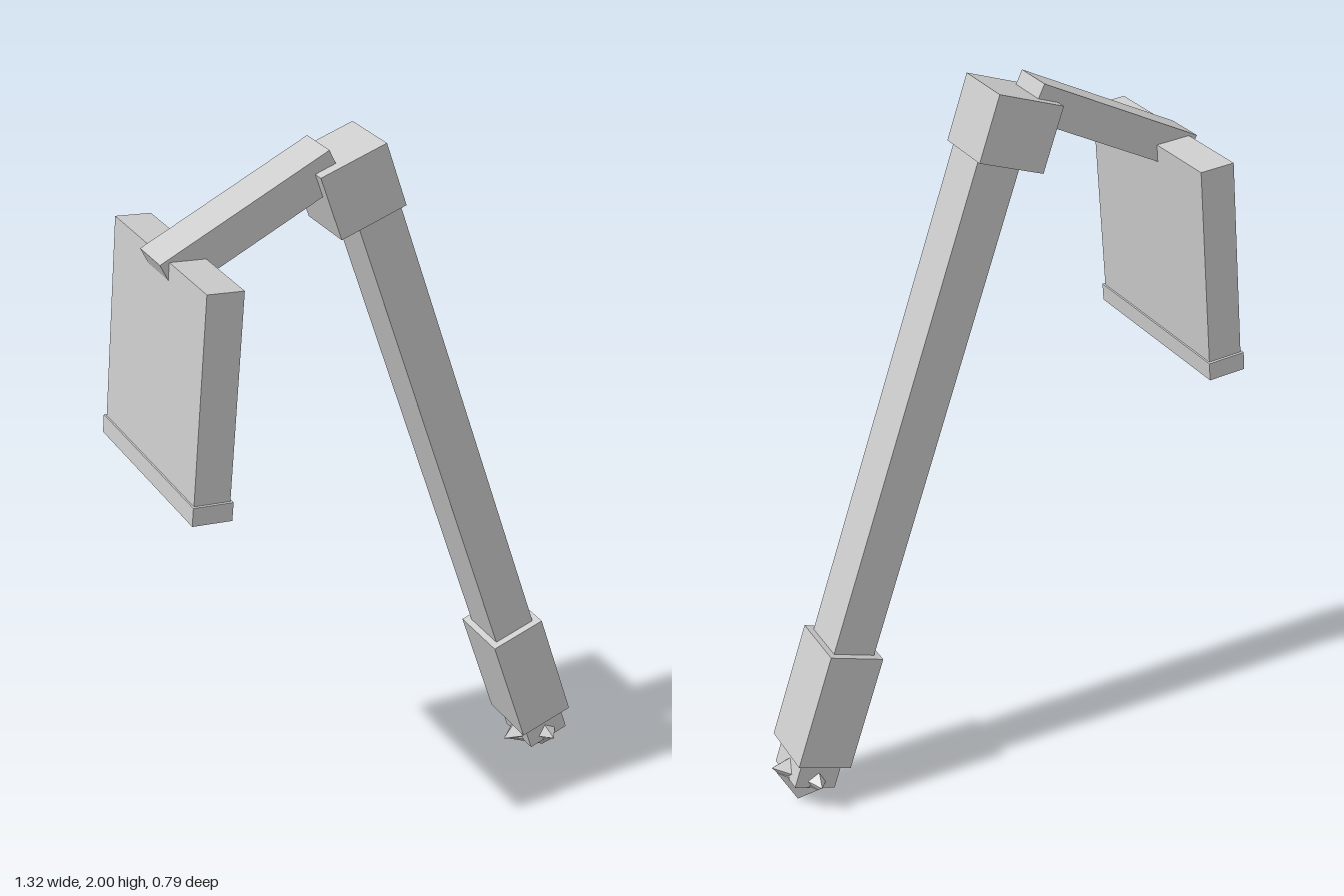
import * as THREE from 'three';

const grey = new THREE.MeshStandardMaterial({ color: 0xcccccc, flatShading: true });
grey.name = 'plain grey';

function add(parent, name, geometry, x, y, z = 0, tilt = 0) {
  const mesh = new THREE.Mesh(geometry, grey);
  mesh.name = name;
  mesh.position.set(x, y, z);
  mesh.rotation.z = THREE.MathUtils.degToRad(tilt);
  parent.add(mesh);
  return mesh;
}
const box = (w, h, d) => new THREE.BoxGeometry(w, h, d);
const pyramid = (r, h) => new THREE.ConeGeometry(r, h, 4).toNonIndexed();

export function createModel() {
  const model = new THREE.Group();
  model.name = 'jointedArm';

  // Everything lies in one upright plane, turned about the vertical
  const body = new THREE.Group();
  body.name = 'body';
  body.rotation.y = THREE.MathUtils.degToRad(-20);
  model.add(body);
  const mid = 0.075;

  // Leaning leg, built upwards from the point of its tip
  const leg = new THREE.Group();
  leg.name = 'leg';
  leg.position.set(0.656, 0, mid);
  leg.rotation.z = THREE.MathUtils.degToRad(18.5);
  body.add(leg);
  add(leg, 'shaft', box(0.123, 1.9, 0.14), 0, 1.03);
  add(leg, 'headBlock', box(0.19, 0.18, 0.183), -0.0265, 1.996);
  add(leg, 'lowerCuff', box(0.16, 0.343, 0.183), 0, 0.328);

  // Pointed tip with a small spike on each side
  add(leg, 'tipPoint', pyramid(0.09, 0.085), 0, 0.0425).rotation.x = Math.PI;
  for (let i = 0; i < 4; i++) {
    const side = new THREE.Group();
    side.name = 'sideSpike';
    side.position.y = 0.1;
    side.rotation.y = i * Math.PI / 2;
    leg.add(side);
    add(side, 'spike', pyramid(0.035, 0.05), 0.084, 0, 0, -90);
  }

  // Upper arm reaching down to the plate
  add(body, 'upperArm', box(0.502, 0.098, 0.122), -0.288, 1.843, mid, 25.4);

  // Broad plate with a thicker lower lip
  add(body, 'plate', box(0.097, 0.595, 0.56), -0.49, 1.482, mid, -5.2);
  add(body, 'plateLip', box(0.107, 0.05, 0.576), -0.515, 1.208, mid, -5.2);

  return model;
}
